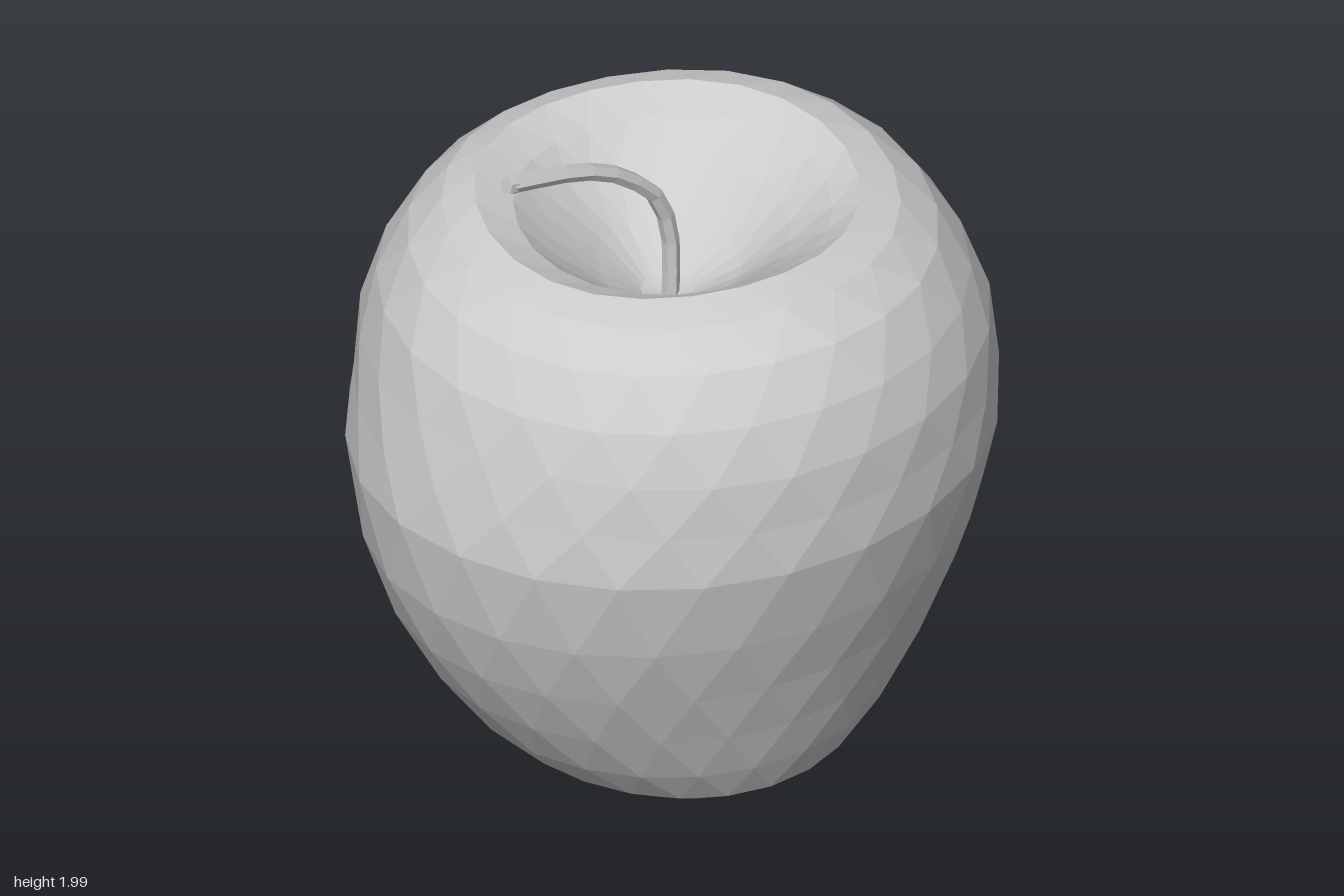
import * as THREE from 'three';

const SIDES = 24;

// Body cross-sections from the bottom dimple to the stem cavity:
// [height, reach to -x, reach to +x, reach to +z, reach to -z]
const RINGS = [
  [0.055, 0.08, 0.08, 0.08, 0.08],
  [0.015, 0.20, 0.26, 0.21, 0.22],
  [0.06, 0.32, 0.41, 0.35, 0.37],
  [0.14, 0.45, 0.525, 0.47, 0.50],
  [0.26, 0.56, 0.585, 0.585, 0.62],
  [0.42, 0.665, 0.645, 0.695, 0.72],
  [0.60, 0.75, 0.71, 0.79, 0.80],
  [0.80, 0.805, 0.78, 0.86, 0.86],
  [1.05, 0.848, 0.845, 0.895, 0.893],
  [1.20, 0.83, 0.845, 0.87, 0.885],
  [1.35, 0.81, 0.84, 0.83, 0.86],
  [1.50, 0.755, 0.795, 0.785, 0.80],
  [1.63, 0.68, 0.715, 0.70, 0.715],
  [1.71, 0.60, 0.61, 0.60, 0.615],
  [1.74, 0.52, 0.50, 0.51, 0.51],
  [1.70, 0.41, 0.44, 0.41, 0.43],
  [1.62, 0.32, 0.33, 0.32, 0.32],
  [1.51, 0.19, 0.20, 0.19, 0.19],
  [1.42, 0.07, 0.07, 0.07, 0.07],
];

// Faceted skin: staggered rings joined by triangles, closed at both ends
function bodyGeometry() {
  const positions = [0, 0.075, 0];
  const index = [];
  RINGS.forEach(([y, left, right, front, back], r) => {
    for (let i = 0; i < SIDES; i++) {
      const a = ((i + (r % 2) / 2) / SIDES) * Math.PI * 2;
      const c = Math.cos(a), s = Math.sin(a);
      // flatter cheek on the front towards -x, strongest low down
      const cheek = Math.max(0, -Math.sin(2 * a)) * (c < 0 && s > 0 ? 1 : 0);
      const k = 1.003 - 0.04 * cheek ** 2 * (y < 1.3 ? 1 : 0.3);
      // gentle unevenness of the shoulders
      const lift = y > 1.45 ? 0.01 * Math.sin(3 * a + 1) - 0.005 : 0;
      positions.push(c * (c < 0 ? left : right) * k, y + lift, s * (s < 0 ? back : front) * k);
    }
  });
  const at = (r, i) => 1 + r * SIDES + (i % SIDES);
  const last = RINGS.length - 1;
  const tip = 1 + RINGS.length * SIDES;
  positions.push(0, 1.4, 0);
  for (let i = 0; i < SIDES; i++) {
    index.push(0, at(0, i), at(0, i + 1));
    index.push(tip, at(last, i + 1), at(last, i));
    for (let r = 0; r < last; r++) {
      const a = at(r, i), b = at(r, i + 1), c = at(r + 1, i), d = at(r + 1, i + 1);
      if (r % 2) index.push(a, d, b, a, c, d);
      else index.push(a, c, b, b, c, d);
    }
  }
  const geometry = new THREE.BufferGeometry();
  geometry.setAttribute('position', new THREE.Float32BufferAttribute(positions, 3));
  geometry.setIndex(index);
  geometry.computeVertexNormals();
  return geometry;
}

export function createModel() {
  const group = new THREE.Group();
  group.name = 'apple';
  const material = new THREE.MeshStandardMaterial({ color: 0xcccccc, flatShading: true });

  const body = new THREE.Mesh(bodyGeometry(), material);
  body.name = 'body';
  group.add(body);

  // Stem rising out of the cavity and bending to the front
  const path = new THREE.CatmullRomCurve3([
    [1.39, -0.01], [1.58, -0.01], [1.72, 0.03], [1.80, 0.10],
    [1.87, 0.19], [1.92, 0.30], [1.975, 0.525],
  ].map(([y, z]) => new THREE.Vector3(0, y, z)));
  const stem = new THREE.Mesh(new THREE.TubeGeometry(path, 10, 0.024, 6), material);
  stem.name = 'stem';
  group.add(stem);

  // Slightly flared cut end of the stem
  const end = new THREE.Mesh(new THREE.CylinderGeometry(0.026, 0.023, 0.03, 6), material);
  end.name = 'stemEnd';
  end.position.copy(path.getPoint(1));
  end.quaternion.setFromUnitVectors(new THREE.Vector3(0, 1, 0), path.getTangent(1));
  group.add(end);

  return group;
}
